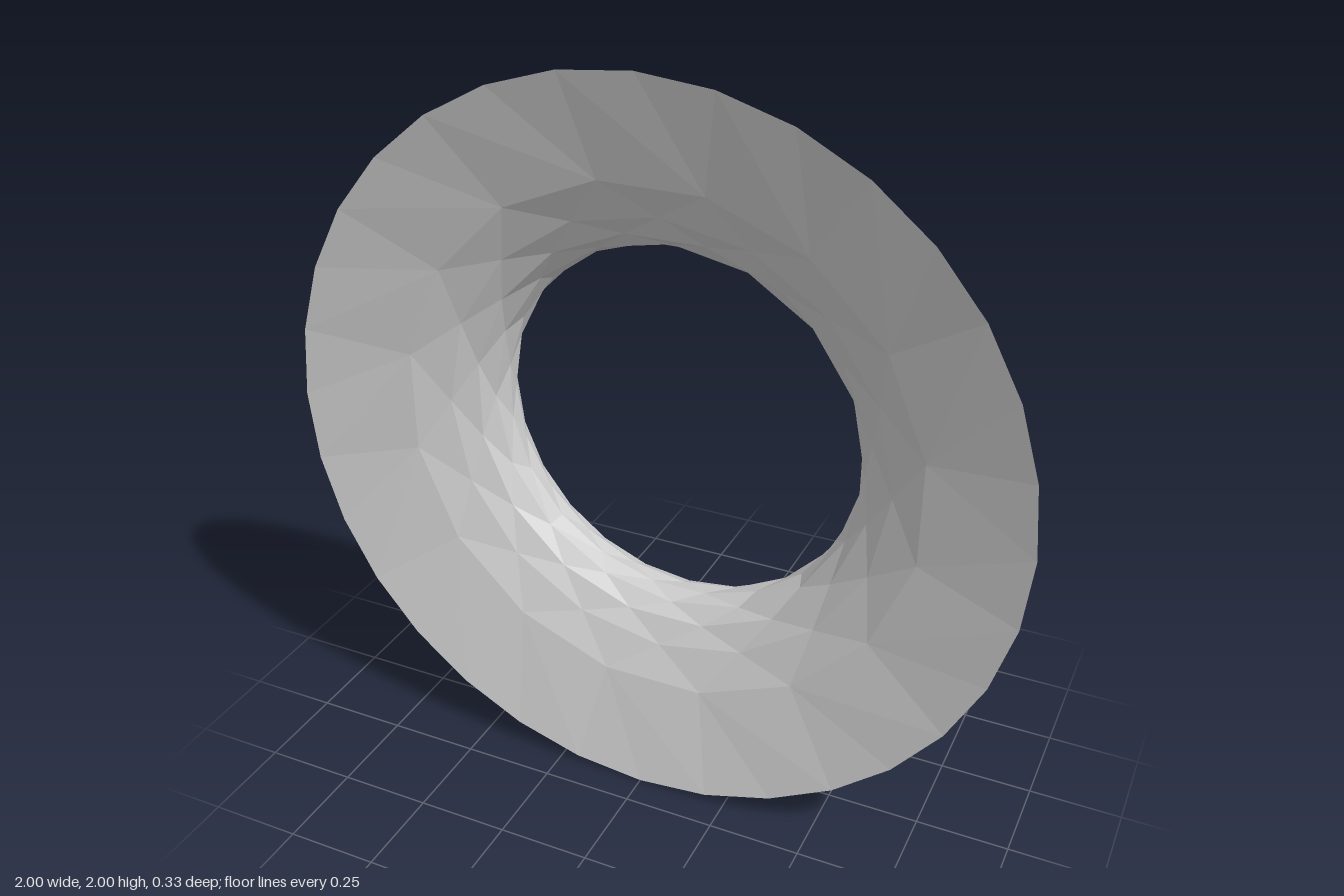
import * as THREE from 'three';

// Cross-section rings from the wide front rim to the rear lip.
const RINGS = [
  { r: 1.0, z: 0.165, n: 32, phase: 0 },
  { r: 0.72, z: 0.085, n: 16, phase: 0.5 },
  { r: 0.62, z: 0.037, n: 16, phase: 0 },
  { r: 0.56, z: 0.0, n: 16, phase: 0.5 },
  { r: 0.525, z: -0.04, n: 16, phase: 0 },
  { r: 0.508, z: -0.085, n: 20, phase: 0.5 },
  { r: 0.51, z: -0.125, n: 20, phase: 0 },
  { r: 0.53, z: -0.165, n: 24, phase: 0 },
];

const angle = (ring, i) => ((i + ring.phase) / ring.n) * Math.PI * 2;

function point(ring, i) {
  const a = angle(ring, i);
  return [ring.r * Math.cos(a), ring.r * Math.sin(a), ring.z];
}

// Joins two rings of different side counts with a strip of triangles.
function stitch(outer, inner, positions) {
  let i = 0, j = 0;
  while (i < outer.n || j < inner.n) {
    const stepOuter = j >= inner.n ||
      (i < outer.n && angle(outer, i + 1) <= angle(inner, j + 1));
    if (stepOuter) {
      positions.push(...point(outer, i), ...point(outer, i + 1), ...point(inner, j));
      i++;
    } else {
      positions.push(...point(outer, i), ...point(inner, j + 1), ...point(inner, j));
      j++;
    }
  }
}

// Builds the open shell between a run of consecutive rings.
function shell(name, rings, material) {
  const positions = [];
  for (let k = 0; k < rings.length - 1; k++) stitch(rings[k], rings[k + 1], positions);
  const geometry = new THREE.BufferGeometry();
  geometry.setAttribute('position', new THREE.Float32BufferAttribute(positions, 3));
  geometry.computeVertexNormals();
  const mesh = new THREE.Mesh(geometry, material);
  mesh.name = name;
  mesh.position.y = 1;
  return mesh;
}

export function createModel() {
  const group = new THREE.Group();
  group.name = 'flaredRing';
  const material = new THREE.MeshStandardMaterial({
    color: 0xcccccc, flatShading: true, side: THREE.DoubleSide,
  });
  group.add(shell('flare', RINGS.slice(0, 5), material)); // wide front skirt
  group.add(shell('collar', RINGS.slice(4), material)); // narrow neck and rear lip
  return group;
}
